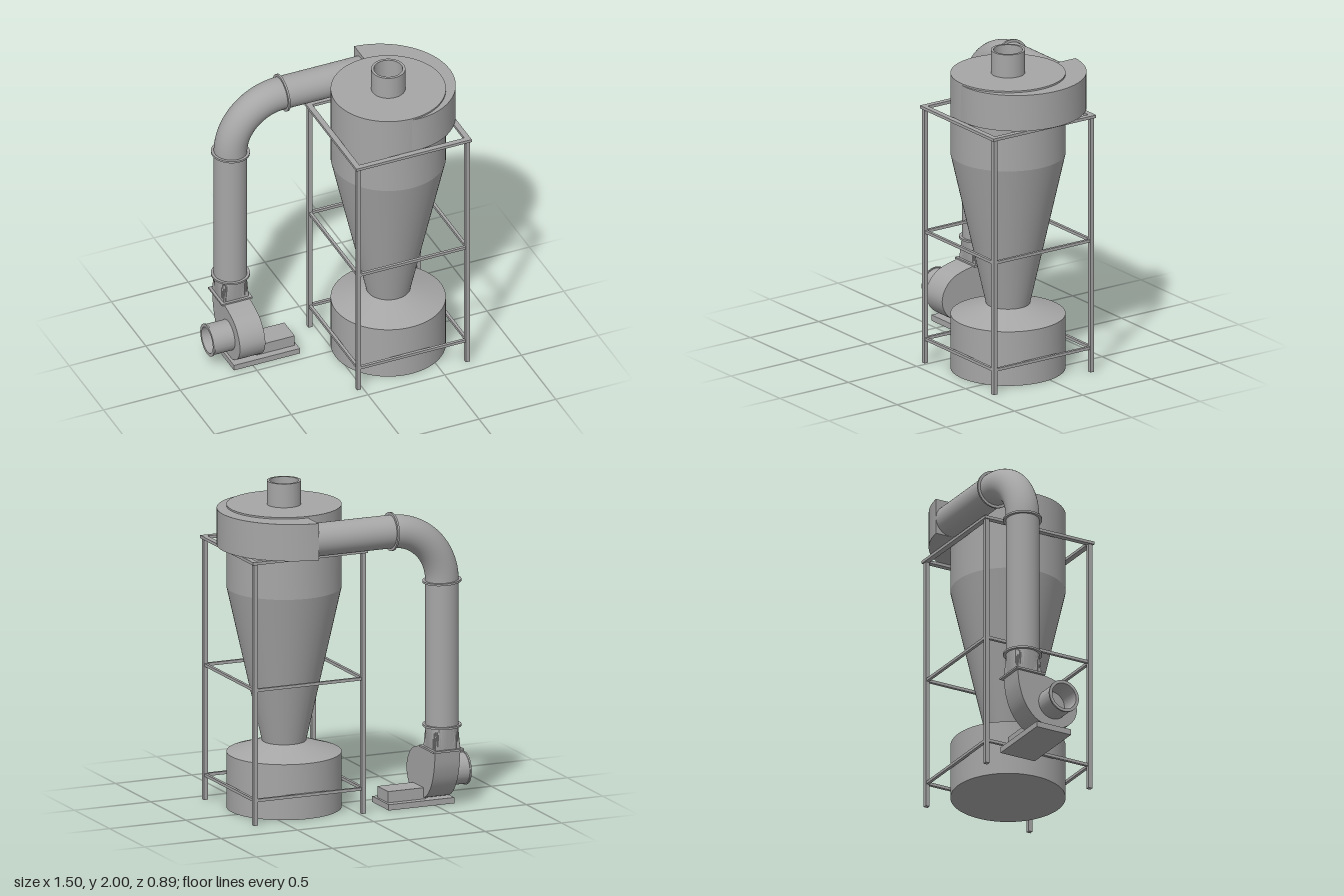
import * as THREE from 'three';
import { toCreasedNormals } from 'three/addons/utils/BufferGeometryUtils.js';

export function createModel() {
  const model = new THREE.Group();
  const steel = new THREE.MeshStandardMaterial({ color: 0xa6a6a6 });
  steel.name = 'grey steel';

  function add(name, geometry, x = 0, y = 0, z = 0, parent = model) {
    const mesh = new THREE.Mesh(geometry, steel);
    mesh.name = name;
    mesh.position.set(x, y, z);
    parent.add(mesh);
    return mesh;
  }
  const box = (w, h, d) => new THREE.BoxGeometry(w, h, d);
  const cylinder = (r, h) => new THREE.CylinderGeometry(r, r, h, 64);
  const lathe = (points) => toCreasedNormals(
    new THREE.LatheGeometry(points.map(([r, y]) => new THREE.Vector2(r, y)), 80), 0.12);
  const extrude = (points, depth) => toCreasedNormals(
    new THREE.ExtrudeGeometry(new THREE.Shape(points), { depth, bevelEnabled: false }), 0.5);

  // Cyclone separator: barrel, cone and dust hopper on one axis
  const cyclone = new THREE.Group();
  cyclone.name = 'cyclone';
  cyclone.position.set(0.327, 0, 0.065);
  model.add(cyclone);
  const R = 0.343;
  add('cycloneBody', lathe([[0.13, 0.4], [R, 1.35], [R, 1.855], [0, 1.855]]), 0, 0, 0, cyclone);
  add('dustHopper', lathe([[0, 0], [R, 0], [R, 0.34], [0.13, 0.41], [0, 0.41]]), 0, 0, 0, cyclone);
  add('airOutlet', lathe([[0.086, 1.85], [0.102, 1.85], [0.102, 2], [0.086, 2], [0.086, 1.85]]),
    0, 0, 0, cyclone);

  // Inlet scroll, narrowing around half of the barrel
  const scroll = [];
  for (let i = 0; i <= 48; i++) {
    const a = -Math.PI / 2 + Math.PI * i / 48;
    const r = 0.495 + (R - 0.495) * i / 48;
    scroll.push(new THREE.Vector2(r * Math.cos(a), r * Math.sin(a)));
  }
  add('inletScroll', extrude(scroll, 0.225).rotateX(Math.PI / 2), 0, 1.845, 0, cyclone);

  // Duct from fan to scroll
  const px = -0.525, pz = -0.33, pr = 0.1, bend = 0.33, bendY = 1.39;
  add('verticalDuct', cylinder(pr, bendY - 0.5), px, (bendY + 0.5) / 2, pz);
  const ductEnd = 0.327, bendX = px + bend;
  add('horizontalDuct', cylinder(pr, ductEnd - bendX).rotateZ(Math.PI / 2),
    (ductEnd + bendX) / 2, bendY + bend, pz);
  add('ductElbow', new THREE.TorusGeometry(bend, pr, 48, 40, Math.PI / 2).rotateZ(Math.PI / 2),
    bendX, bendY, pz);
  const flange = () => cylinder(0.116, 0.012);
  add('lowerFlange', flange(), px, 0.503, pz);
  add('elbowLowerFlange', flange(), px, 1.387, pz).rotation.z = -0.05;
  add('elbowUpperFlange', flange(), -0.19, bendY + bend, pz).rotation.z = Math.PI / 2 + 0.05;

  // Square to round transition
  const reducer = new THREE.CylinderGeometry(pr, pr, 0.14, 64, 1, true);
  const p = reducer.attributes.position;
  for (let i = 0; i < p.count; i++) {
    if (p.getY(i) > 0) continue;
    const s = 0.083 / Math.max(Math.abs(p.getX(i)), Math.abs(p.getZ(i)));
    p.setXYZ(i, p.getX(i) * s, p.getY(i), p.getZ(i) * s);
  }
  add('ductTransition', toCreasedNormals(reducer, 0.4), px, 0.43, pz);
  add('fanOutletFlange', box(0.2, 0.012, 0.2), px, 0.36, pz);

  // Fan housing: snail outline in (z, y), extruded across x
  const snail = new THREE.CatmullRomCurve3([
    [-0.413, 0.36], [-0.398, 0.25], [-0.362, 0.15], [-0.3, 0.073], [-0.235, 0.04], [-0.16, 0.03],
    [-0.08, 0.055], [-0.025, 0.11], [-0.005, 0.18], [-0.025, 0.25], [-0.08, 0.31], [-0.16, 0.342],
    [-0.247, 0.36],
  ].map(([z, y]) => new THREE.Vector3(z, y, 0)));
  const outline = snail.getPoints(60).map((v) => new THREE.Vector2(v.x, v.y));
  add('fanHousing', extrude(outline, 0.165).rotateY(-Math.PI / 2), -0.443);
  add('fanInlet', lathe([[0.082, 0], [0.095, 0], [0.095, 0.13], [0.101, 0.13], [0.101, 0.14],
    [0.082, 0.14], [0.082, 0]]).rotateZ(Math.PI / 2), -0.607, 0.18, -0.173);

  // Fan base and motor block
  add('fanBase', box(0.43, 0.036, 0.235), -0.41, 0.018, -0.173);
  add('motorBlock', box(0.25, 0.07, 0.15), -0.335, 0.07, -0.173);

  // Support frame
  const frame = new THREE.Group();
  frame.name = 'supportFrame';
  frame.position.set(0.327, 0, 0.065);
  model.add(frame);
  const leg = 0.354;
  for (const sx of [-1, 1]) for (const sz of [-1, 1]) {
    add('frameLeg', box(0.026, 1.6, 0.026), sx * leg, 0.8, sz * leg, frame);
  }
  for (const s of [-1, 1]) {
    for (const y of [0.152, 0.827]) {
      add('frameRail', box(2 * leg, 0.018, 0.018), 0, y, s * leg, frame);
      add('frameRail', box(0.018, 0.018, 2 * leg), s * leg, y, 0, frame);
    }
    add('topRail', box(0.752, 0.018, 0.034), 0, 1.608, s * 0.359, frame);
    add('topRail', box(0.034, 0.018, 0.684), s * 0.359, 1.608, 0, frame);
  }
  return model;
}
